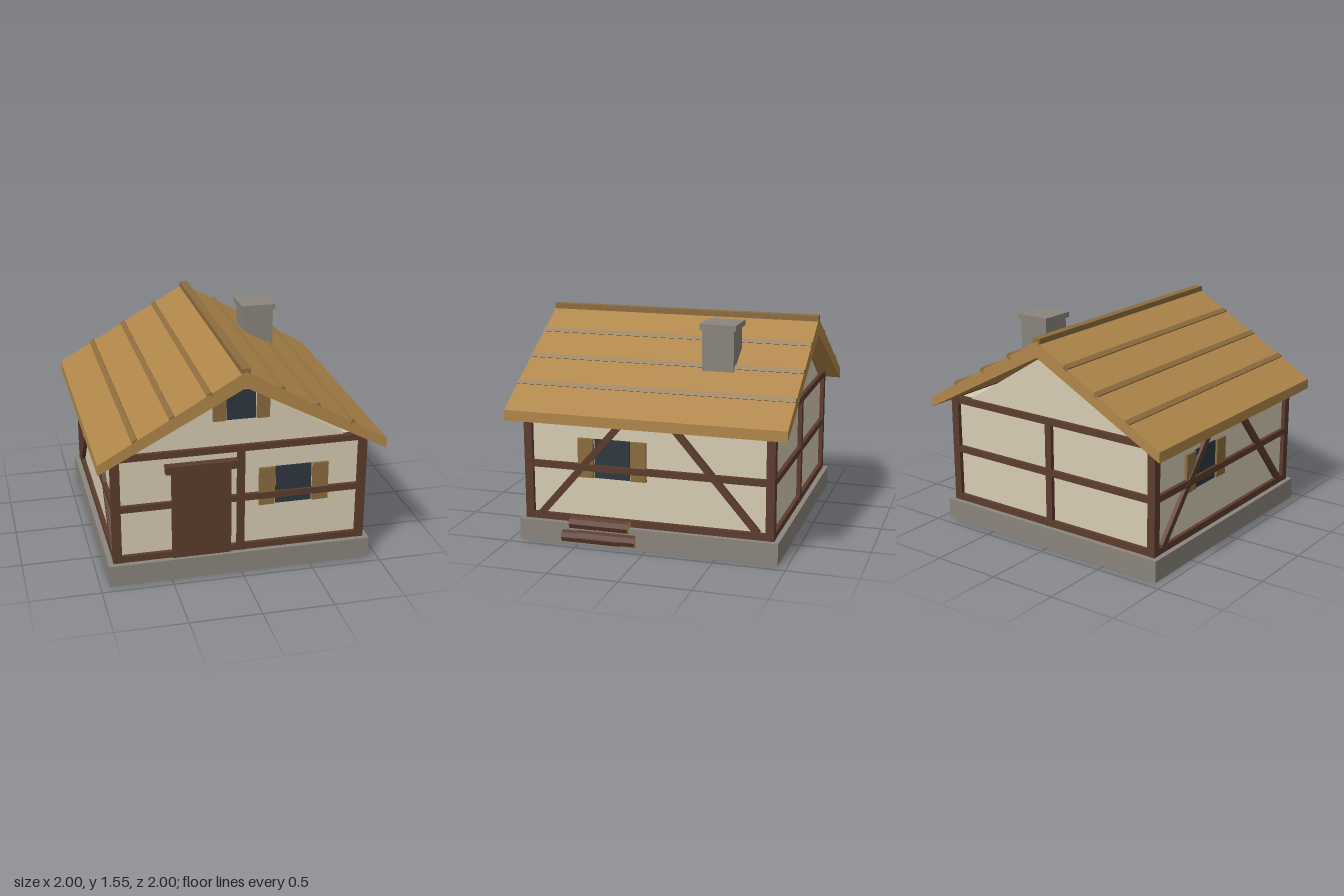
import * as THREE from 'three';

const mat = (name, color) => {
  const m = new THREE.MeshStandardMaterial({ color });
  m.name = name;
  return m;
};

export function createModel() {
  const house = new THREE.Group();
  house.name = 'timberFramedCottage';
  const stone = mat('stone', 0x8a857c);
  const plaster = mat('plaster', 0xd6ccb3);
  const timber = mat('timber', 0x5c3c2e);
  const thatch = mat('roofPlanks', 0xb0864a);
  const wood = mat('shutterWood', 0x8c6c3e);
  const glass = mat('glass', 0x2f373f);
  const cutWood = mat('cutWood', 0xc4954f);

  const add = (parent, name, geometry, material) => {
    const m = new THREE.Mesh(geometry, material);
    m.name = name;
    parent.add(m);
    return m;
  };
  // box given by its limits on each axis
  const box = (parent, name, material, x0, x1, y0, y1, z0, z1) => {
    const m = add(parent, name, new THREE.BoxGeometry(x1 - x0, y1 - y0, z1 - z0), material);
    m.position.set((x0 + x1) / 2, (y0 + y1) / 2, (z0 + z1) / 2);
    return m;
  };
  // outline in x and y, extruded along z and centred
  const prism = (name, material, points, depth) => {
    const shape = new THREE.Shape(points.map(([x, y]) => new THREE.Vector2(x, y)));
    const g = new THREE.ExtrudeGeometry(shape, { depth, bevelEnabled: false });
    return add(house, name, g.translate(0, 0, -depth / 2), material);
  };

  // foundation and walls
  box(house, 'foundation', stone, -0.935, 0.935, 0, 0.155, -0.935, 0.935);
  box(house, 'walls', plaster, -0.87, 0.87, 0.155, 0.95, -0.87, 0.87);
  prism('gables', plaster, [[-0.746, 0.95], [0.746, 0.95], [0, 1.42]], 1.74);

  // corner posts
  for (const sx of [-1, 1]) for (const sz of [-1, 1]) {
    box(house, 'cornerPost', timber, sx * 0.87 - 0.03, sx * 0.87 + 0.03, 0.155, 0.96,
      sz * 0.87 - 0.03, sz * 0.87 + 0.03);
  }

  // each face is a group whose local +z points outward
  const face = (name, turn) => {
    const g = new THREE.Group();
    g.name = name;
    g.rotation.y = turn;
    house.add(g);
    for (const [y0, y1] of [[0.155, 0.203], [0.535, 0.582], [0.912, 0.958]]) {
      box(g, 'rail', timber, -0.84, 0.84, y0, y1, 0.85, 0.898);
    }
    return g;
  };
  const shutteredWindow = (parent, x, y, w, h, shutter) => {
    box(parent, 'windowPane', glass, x - w / 2, x + w / 2, y - h / 2, y + h / 2, 0.86, 0.88);
    for (const s of [-1, 1]) {
      const c = x + s * (w / 2 + 0.008 + shutter / 2);
      box(parent, 'shutter', wood, c - shutter / 2, c + shutter / 2, y - h / 2, y + h / 2, 0.86, 0.892);
    }
  };

  const front = face('frontFace', 0);
  const back = face('backFace', Math.PI);
  for (const f of [front, back]) box(f, 'middlePost', timber, -0.026, 0.026, 0.155, 0.955, 0.85, 0.9);

  // door, front window and attic window
  box(front, 'door', timber, -0.485, -0.072, 0.155, 0.805, 0.86, 0.91);
  box(front, 'doorLintel', timber, -0.53, -0.027, 0.803, 0.86, 0.86, 0.93);
  shutteredWindow(front, 0.378, 0.625, 0.256, 0.28, 0.112);
  shutteredWindow(front, 0, 1.25, 0.2, 0.21, 0.088);

  // side faces with diagonal braces and a window
  for (const turn of [1, -1]) {
    const side = face('sideFace', turn * Math.PI / 2);
    shutteredWindow(side, -0.255, 0.625, 0.256, 0.28, 0.112);
    for (const s of [-1, 1]) {
      const brace = add(side, 'brace', new THREE.BoxGeometry(0.047, 0.98, 0.045), timber);
      brace.position.set(s * 0.464, 0.568, 0.877);
      brace.rotation.z = s * Math.atan2(0.58, 0.67);
    }
  }

  // roof, ridge and battens
  prism('roof', thatch, [[-1, 0.883], [0, 1.415], [1, 0.883], [1, 0.957], [0, 1.528], [-1, 0.957]], 2);
  box(house, 'ridgeBeam', wood, -0.03, 0.03, 1.5, 1.55, -1, 1);
  for (const s of [-1, 1]) for (const x of [0.245, 0.495, 0.745]) {
    const batten = add(house, 'batten', new THREE.BoxGeometry(0.04, 0.03, 2), wood);
    batten.position.set(s * x, 1.523 - 0.569 * x, 0);
    batten.rotation.z = Math.PI / 6;
  }

  // chimney
  box(house, 'chimney', stone, 0.315, 0.542, 1.0, 1.51, -0.517, -0.29);
  box(house, 'chimneyCap', stone, 0.296, 0.558, 1.508, 1.547, -0.535, -0.277);

  // firewood: y, back end, front end
  for (const [y, z0, z1] of [[0.066, 0.07, 0.5], [0.06, 0.18, 0.61], [0.163, 0.12, 0.55]]) {
    const g = new THREE.CylinderGeometry(0.046, 0.046, z1 - z0, 8).toNonIndexed();
    g.computeVertexNormals();
    g.rotateX(Math.PI / 2);
    // side, then both cut ends
    g.clearGroups();
    g.addGroup(0, 48, 0);
    g.addGroup(48, 48, 1);
    add(house, 'log', g, [timber, cutWood]).position.set(0.93, y, (z0 + z1) / 2);
  }
  return house;
}
